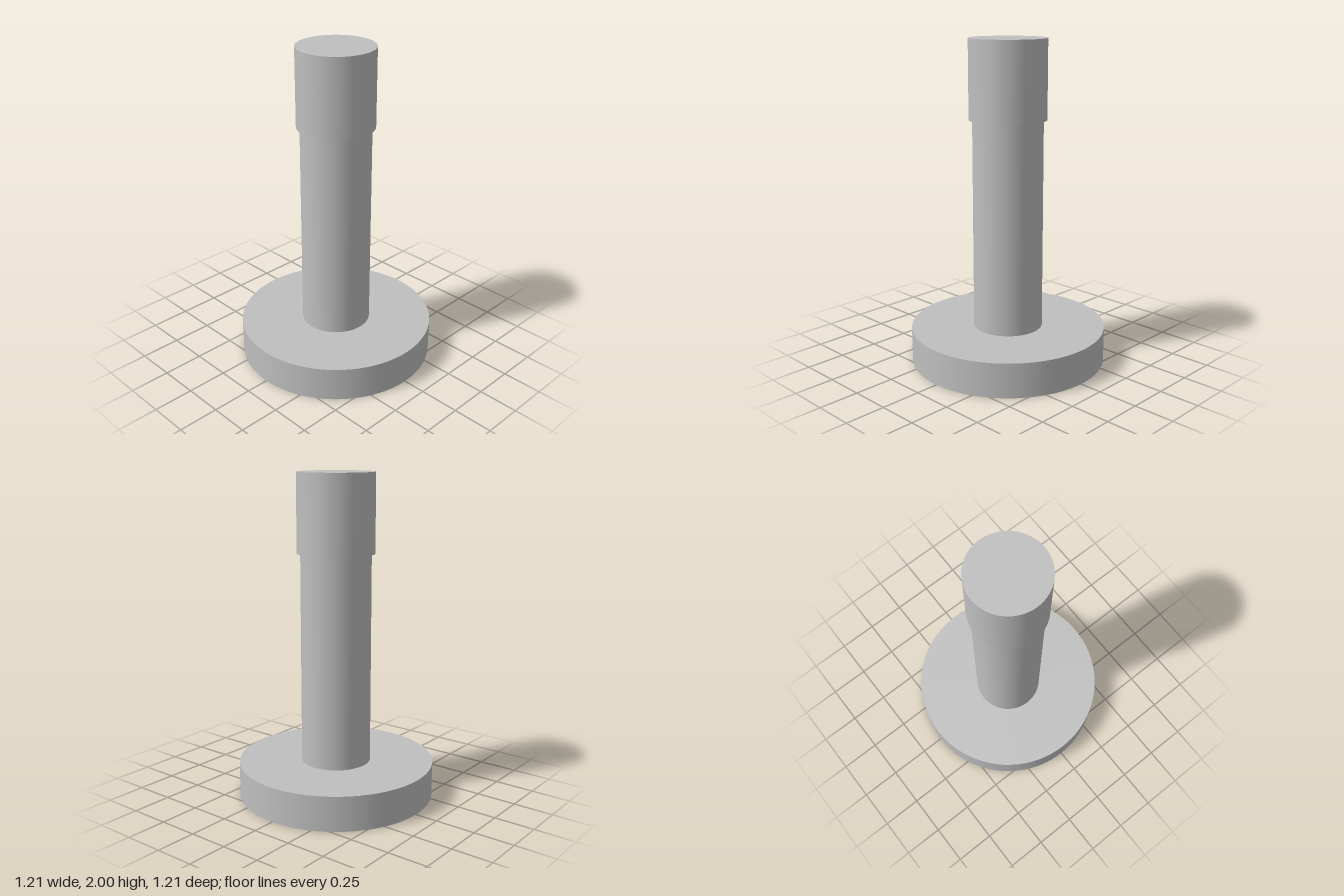
import * as THREE from 'three';

export function createModel() {
  const model = new THREE.Group();
  model.name = 'flangedPost';
  const grey = new THREE.MeshStandardMaterial({ color: 0xbfbfbf });
  grey.name = 'plain grey';

  // Upright cylinder between two heights
  const addDisc = (name, radius, bottom, top) => {
    const mesh = new THREE.Mesh(
      new THREE.CylinderGeometry(radius, radius, top - bottom, 96), grey);
    mesh.name = name;
    mesh.position.y = (bottom + top) / 2;
    model.add(mesh);
  };

  addDisc('base', 0.607, 0, 0.215);
  addDisc('shaft', 0.215, 0.215, 1.518);
  addDisc('cap', 0.236, 1.518, 2);

  return model;
}
